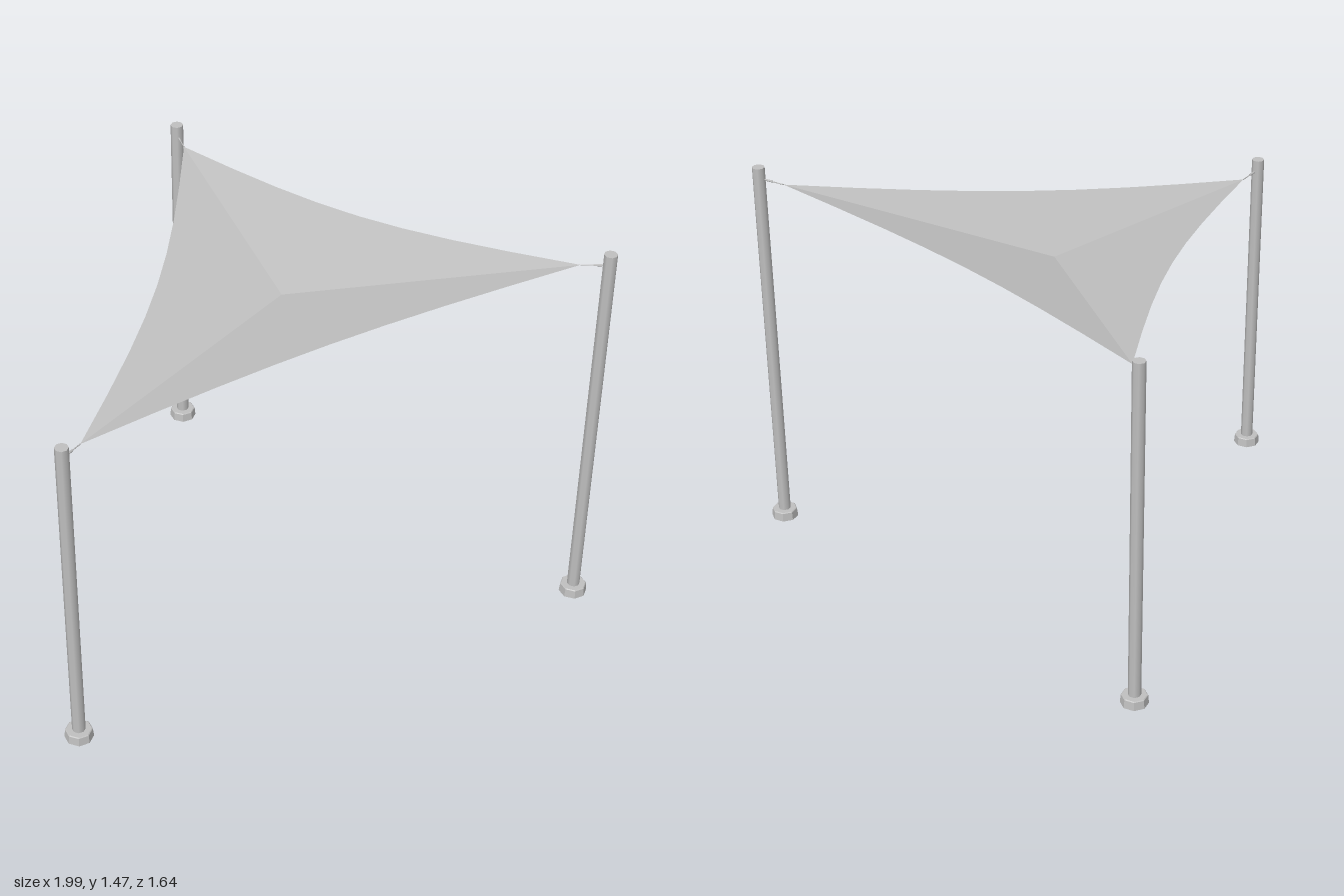
import * as THREE from 'three';

const V = (x, y, z) => new THREE.Vector3(x, y, z);

// Posts: foot position, height, sail corner and cable anchor height
const SUPPORTS = [
  { name: 'leftFront', x: -0.95, z: 0.687, height: 1.25, corner: V(-0.87, 1.2, 0.637), anchor: 1.207 },
  { name: 'rightFront', x: 0.945, z: 0.772, height: 1.467, corner: V(0.87, 1.412, 0.714), anchor: 1.424 },
  { name: 'back', x: 0.085, z: -0.778, height: 1.338, corner: V(0.08, 1.286, -0.705), anchor: 1.295 },
];
const SAIL_CENTRE = V(0.03, 1.225, 0.21);
const EDGE_SAG = [0.125, 0.15, 0.145];
const EDGE_STEPS = 8;
const POST_RADIUS = 0.023;

// Round bar between two points
function bar(from, to, radius, material, name) {
  const dir = to.clone().sub(from);
  const mesh = new THREE.Mesh(new THREE.CylinderGeometry(radius, radius, dir.length(), 6), material);
  mesh.position.copy(from).add(to).multiplyScalar(0.5);
  mesh.quaternion.setFromUnitVectors(V(0, 1, 0), dir.normalize());
  mesh.name = name;
  return mesh;
}

// One third of the sail: a fan from the low centre to a hollow-curved edge
function sailPanel(a, b, sag) {
  const points = [SAIL_CENTRE];
  const index = [];
  for (let i = 0; i <= EDGE_STEPS; i++) {
    const t = i / EDGE_STEPS;
    points.push(a.clone().lerp(b, t).lerp(SAIL_CENTRE, sag * 4 * t * (1 - t)));
    if (i > 0) index.push(0, i, i + 1);
  }
  const geometry = new THREE.BufferGeometry().setFromPoints(points);
  geometry.setIndex(index);
  geometry.computeVertexNormals();
  return geometry;
}

export function createModel() {
  const model = new THREE.Group();
  model.name = 'shadeSail';
  const grey = new THREE.MeshStandardMaterial({ color: 0xc0c0c0, side: THREE.DoubleSide });
  grey.name = 'lightGrey';

  SUPPORTS.forEach((s, i) => {
    const support = new THREE.Group();
    support.name = s.name + 'Support';

    // Eight-sided post
    const postGeometry = new THREE.CylinderGeometry(POST_RADIUS, POST_RADIUS, s.height, 8);
    postGeometry.rotateY(Math.PI / 8);
    const post = new THREE.Mesh(postGeometry, grey);
    post.position.set(s.x, s.height / 2, s.z);
    post.name = 'post';

    // Hollow foot, open underneath
    const footProfile = [[0.05, 0], [0.047, 0.032], [0.044, 0.035], [POST_RADIUS, 0.035]]
      .map(([r, y]) => new THREE.Vector2(r, y));
    const footGeometry = new THREE.LatheGeometry(footProfile, 8, Math.PI / 8).toNonIndexed();
    footGeometry.computeVertexNormals();
    const foot = new THREE.Mesh(footGeometry, grey);
    foot.position.set(s.x, 0, s.z);
    foot.name = 'foot';

    // Cable from post to sail corner, with a thicker tensioner
    const anchor = V(s.x, s.anchor, s.z);
    const inner = anchor.clone().lerp(s.corner, 0.25);
    const outer = anchor.clone().lerp(s.corner, 0.55);
    support.add(post, foot,
      bar(anchor, s.corner, 0.002, grey, 'cable'),
      bar(inner, outer, 0.004, grey, 'tensioner'));
    model.add(support);

    // Sail panel towards the next corner
    const next = SUPPORTS[(i + 1) % SUPPORTS.length];
    const panel = new THREE.Mesh(sailPanel(s.corner, next.corner, EDGE_SAG[i]), grey);
    panel.name = 'sailPanel';
    model.add(panel);
  });

  return model;
}
